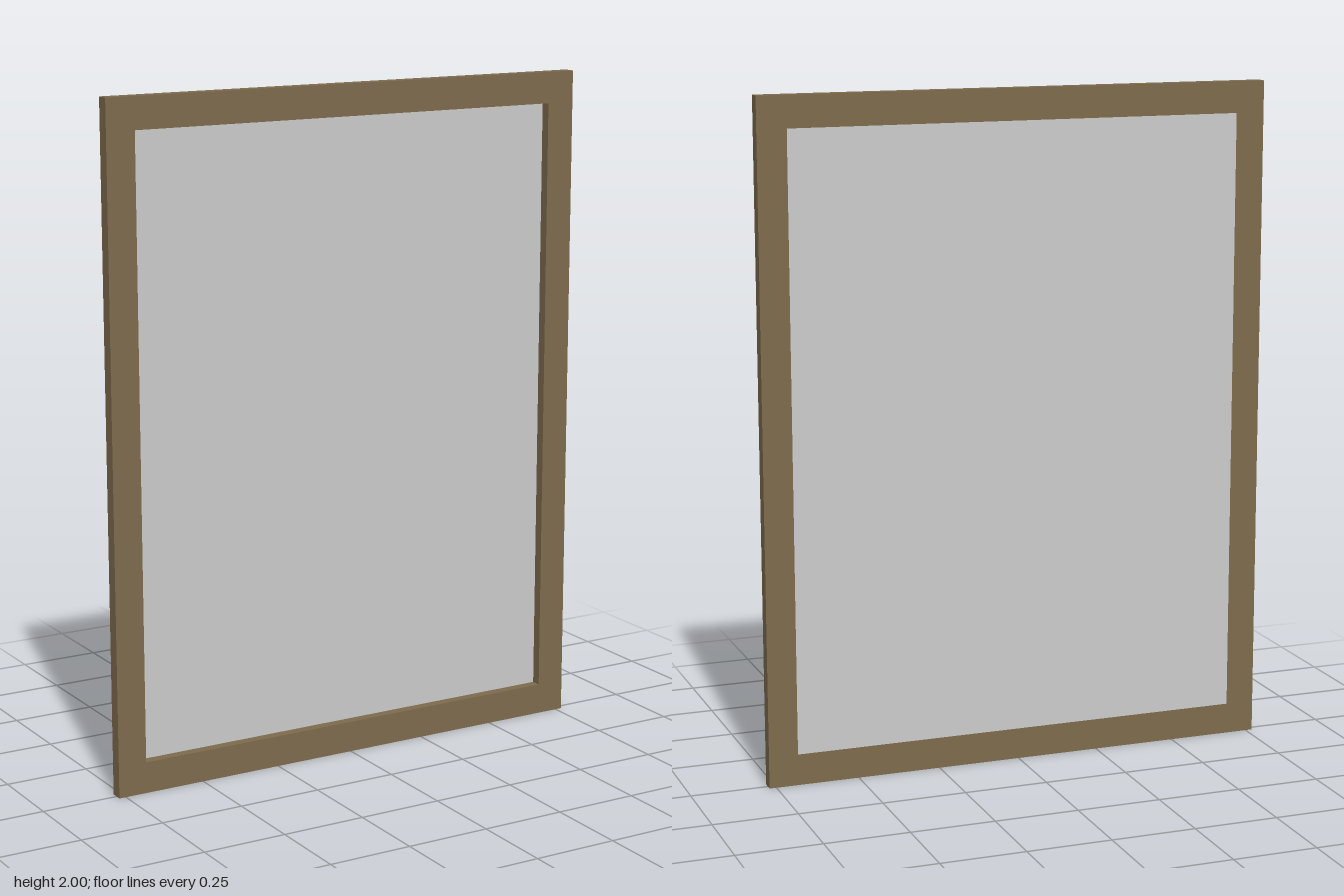
import * as THREE from 'three';

const HALF_WIDTH = 0.771, HEIGHT = 2, DEPTH = 0.038;
const INNER_HALF = 0.684, INNER_BOTTOM = 0.093, INNER_TOP = 1.907;
const PANEL_DEPTH = 0.008;

// Corner points of a rectangle that is centred on x = 0
const rectangle = (half, bottom, top) => [
  new THREE.Vector2(-half, bottom), new THREE.Vector2(half, bottom),
  new THREE.Vector2(half, top), new THREE.Vector2(-half, top),
];

export function createModel() {
  const group = new THREE.Group();
  group.name = 'framedPanel';

  // Wooden frame: flat border with a square opening
  const outline = new THREE.Shape(rectangle(HALF_WIDTH, 0, HEIGHT));
  outline.holes.push(new THREE.Path(rectangle(INNER_HALF, INNER_BOTTOM, INNER_TOP)));
  const frame = new THREE.Mesh(
    new THREE.ExtrudeGeometry(outline, { depth: DEPTH, bevelEnabled: false }),
    new THREE.MeshStandardMaterial({ color: 0x7d6b4d })
  );
  frame.name = 'frame';
  frame.position.z = -DEPTH / 2;
  group.add(frame);

  // Thin panel: flush with the back, recessed from the front
  const panel = new THREE.Mesh(
    new THREE.BoxGeometry(INNER_HALF * 2, INNER_TOP - INNER_BOTTOM, PANEL_DEPTH),
    new THREE.MeshStandardMaterial({ color: 0xcccccc })
  );
  panel.name = 'panel';
  panel.position.set(0, (INNER_TOP + INNER_BOTTOM) / 2, (PANEL_DEPTH - DEPTH) / 2);
  group.add(panel);

  return group;
}
